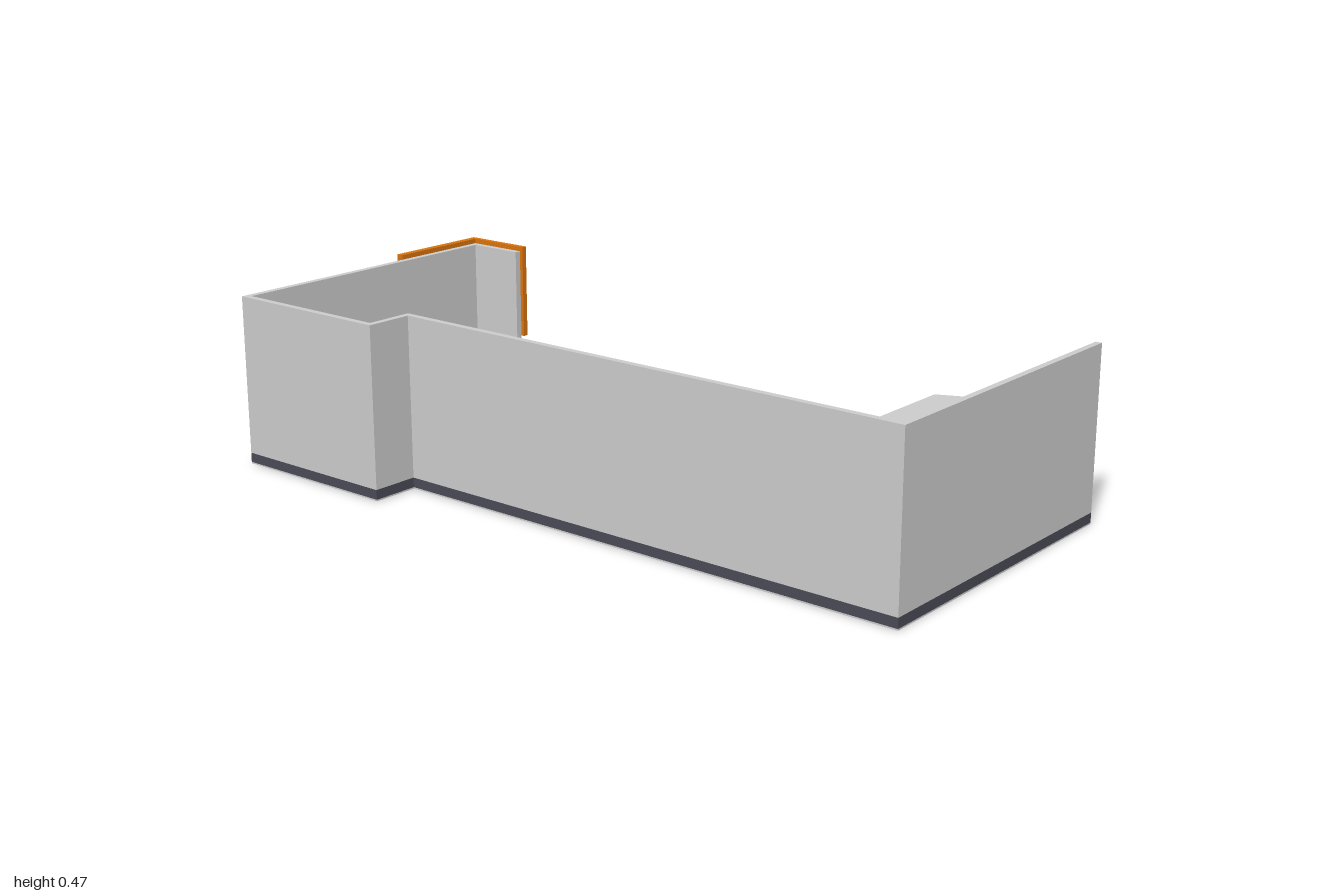
import * as THREE from 'three';

// Extrudes a plan outline of [x, z] points between two heights
function slab(name, plan, bottom, top, color) {
  const shape = new THREE.Shape(plan.map(([x, z]) => new THREE.Vector2(x, z)));
  const geometry = new THREE.ExtrudeGeometry(shape, { depth: top - bottom, bevelEnabled: false });
  geometry.rotateX(Math.PI / 2); // plan y becomes z, depth runs down from the top
  geometry.translate(0, top, 0);
  const mesh = new THREE.Mesh(geometry, new THREE.MeshStandardMaterial({ color }));
  mesh.name = name;
  return mesh;
}

export function createModel() {
  const group = new THREE.Group();
  group.name = 'roomSection';

  // Outer line of the walls, from the short back return round to the open end
  const outer = [
    [-0.8, -0.345], [-0.98, -0.345], [-0.98, 0.53], [-0.49, 0.53],
    [-0.49, 0.4], [0.995, 0.4], [0.995, -0.47],
  ];

  // Inner line, with the thickened column in the front corner
  const inner = [
    [0.978, -0.47], [0.978, 0.14], [0.92, 0.165], [0.92, 0.382],
    [-0.508, 0.382], [-0.508, 0.512], [-0.962, 0.512], [-0.962, -0.327], [-0.8, -0.327],
  ];

  // Curved, cut-away back edge of the floor
  const backEdge = [
    [0.85, -0.52], [0.7, -0.535], [0.55, -0.515], [0.4, -0.46], [0.26, -0.37],
    [0.135, -0.235], [0.07, -0.1], [-0.505, -0.1], [-0.625, -0.135], [-0.73, -0.21],
  ];

  // L-shaped panel wrapped round the outside of the back corner
  const corner = [
    [-1, -0.36], [-0.79, -0.36], [-0.79, -0.345],
    [-0.98, -0.345], [-0.98, -0.05], [-1, -0.05],
  ];

  const walls = [...outer, ...inner];
  group.add(
    slab('floor', [...outer, ...backEdge], 0, 0.004, 0xcccccc),
    slab('baseboard', walls, 0.004, 0.03, 0x4a4a57),
    slab('walls', walls, 0.03, 0.462, 0xcccccc),
    slab('cornerPanel', corner, 0.21, 0.475, 0xd9730d),
  );
  return group;
}
